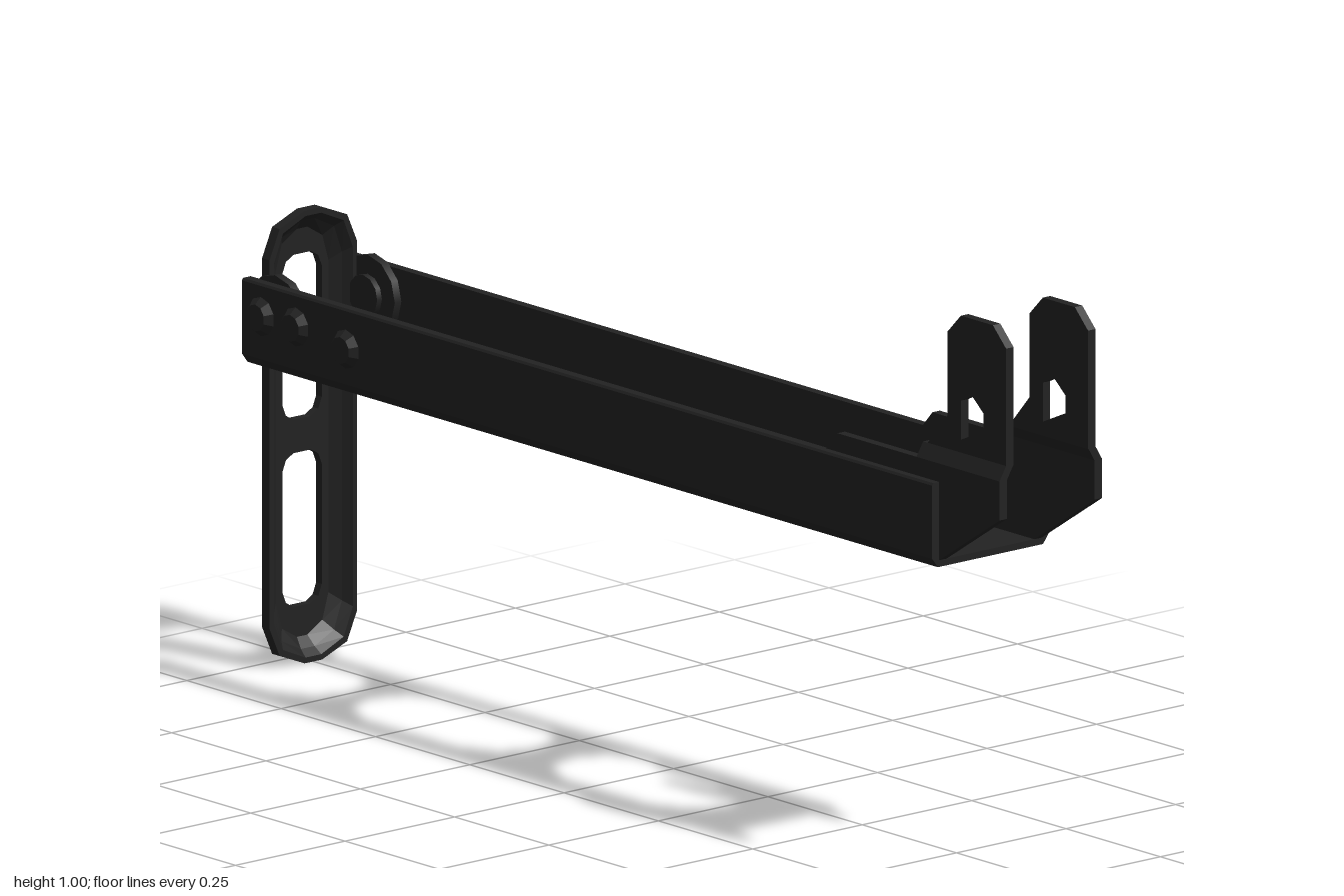
import * as THREE from 'three';

const MID = 0.405; // strut centre height

function makeShape(points, holes = []) {
  const toV = (list) => list.map(([a, b]) => new THREE.Vector2(a, b));
  const shape = new THREE.Shape(toV(points));
  holes.forEach((h) => shape.holes.push(new THREE.Path(toV(h))));
  return shape;
}

const extrude = (points, depth, holes) =>
  new THREE.ExtrudeGeometry(makeShape(points, holes), { depth, bevelEnabled: false });

// Mirrors a quarter outline about both axes, counter-clockwise
function fourWay(quarter, cx = 0, cy = 0) {
  const back = [...quarter].reverse();
  return [
    ...quarter,
    ...back.map(([a, b]) => [-a, b]),
    ...quarter.map(([a, b]) => [-a, -b]),
    ...back.map(([a, b]) => [a, -b]),
  ].map(([a, b]) => [a + cx, b + cy]);
}

// Strut outline in (z, y), shrunk inward by an inset
const strutOutline = (inset) =>
  fourWay([[0.1, 0.33], [0.077, 0.382], [0.02, MID]], 0, MID)
    .map(([z, y]) => [z * (1 - inset / 0.1), MID + (y - MID) * (1 - inset / MID)]);

// Dished rim: outline loops joined along x
function rimGeometry(sections) {
  const loops = sections.map(([x, inset]) => strutOutline(inset).map(([z, y]) => [x, y, z]));
  const pos = [];
  for (let k = 0; k < loops.length - 1; k++) {
    const n = loops[k].length;
    for (let i = 0; i < n; i++) {
      const j = (i + 1) % n;
      const a = loops[k][i], b = loops[k + 1][i], c = loops[k + 1][j], d = loops[k][j];
      pos.push(...a, ...b, ...c, ...a, ...c, ...d);
    }
  }
  const geo = new THREE.BufferGeometry();
  geo.setAttribute('position', new THREE.Float32BufferAttribute(pos, 3));
  geo.computeVertexNormals();
  return geo;
}

export function createModel() {
  const model = new THREE.Group();
  model.name = 'channelArm';
  const metal = new THREE.MeshStandardMaterial({ color: 0x222222 });
  metal.name = 'blackMetal';

  const add = (name, geo, x = 0, y = 0, z = 0) => {
    const mesh = new THREE.Mesh(geo, metal);
    mesh.name = name;
    mesh.position.set(x, y, z);
    model.add(mesh);
    return mesh;
  };

  // Upright slotted strut: web with two slots, and a flared rim
  const slot = (y0, y1) => {
    const h = (y1 - y0) / 2;
    return fourWay([[0.045, h - 0.03], [0.037, h - 0.01], [0.02, h]], 0, (y0 + y1) / 2);
  };
  const web = extrude(strutOutline(0.025), 0.015, [slot(0.095, 0.37), slot(0.43, 0.725)]);
  web.rotateY(Math.PI / 2);
  add('strutWeb', web, -1);
  add('strutRim', rimGeometry([
    [-1, 0.025], [-0.975, 0], [-0.955, 0], [-0.955, 0.01], [-0.97, 0.022], [-0.985, 0.04],
  ]));

  // Channel floor with lightening holes, open at the strut end
  const floorHole = (x0, x1) => {
    const h = (x1 - x0) / 2;
    return fourWay([[h, 0], [h - 0.025, 0.065], [h - 0.105, 0.103]], (x0 + x1) / 2, 0);
  };
  const floor = extrude([
    [-0.95, 0.12], [-0.95, 0.103], [-0.4, 0.103], [-0.315, 0.065], [-0.29, 0],
    [-0.315, -0.065], [-0.4, -0.103], [-0.95, -0.103], [-0.95, -0.12],
    [0.84, -0.12], [0.84, 0.12],
  ], 0.012, [floorHole(-0.25, 0.205), floorHole(0.28, 0.715)]);
  floor.rotateX(Math.PI / 2);
  add('channelFloor', floor, 0, 0.562, 0);

  for (const s of [1, -1]) {
    const side = s > 0 ? 'front' : 'back';

    // Channel wall with a chamfered lower edge
    const wall = extrude([
      [-s * 0.113, 0.552], [-s * 0.12, 0.55], [-s * 0.133, 0.567],
      [-s * 0.133, 0.698], [-s * 0.13, 0.702], [-s * 0.113, 0.702],
    ], 1.83);
    wall.rotateY(Math.PI / 2);
    add(side + 'ChannelWall', wall, -0.99);

    // Rivet heads
    for (const [x, y] of [[-0.94, 0.643], [-0.848, 0.643], [-0.715, 0.63]]) {
      const head = new THREE.CylinderGeometry(0.024, 0.036, 0.014, 10).toNonIndexed();
      head.computeVertexNormals();
      head.rotateX(s * Math.PI / 2);
      add(side + 'Rivet', head, x, y, s * 0.139);
    }

    // Pivot washer and pin end inside the wall
    const disc = (r, h) => new THREE.CylinderGeometry(r, r, h, 12).rotateX(Math.PI / 2);
    add(side + 'PivotWasher', disc(0.072, 0.016), -0.925, 0.645, s * 0.106);
    add(side + 'PivotPin', disc(0.038, 0.012), -0.925, 0.645, s * 0.093);

    // End bracket: lower plate, joggle and raised tab
    const z = (inner, t) => (s > 0 ? inner : -inner - t);
    add(side + 'BracketPlate', extrude([
      [0.54, 0.562], [0.84, 0.562], [1, 0.665], [1, 0.735], [0.57, 0.735], [0.54, 0.702],
    ], 0.017), 0, 0, z(0.1, 0.017));

    const joggle = extrude([
      [-s * 0.1, 0.735], [-s * 0.117, 0.735], [-s * 0.102, 0.76], [-s * 0.085, 0.76],
    ], 0.22);
    joggle.rotateY(Math.PI / 2);
    add(side + 'BracketJoggle', joggle, 0.78);

    add(side + 'BracketTab', extrude([
      [0.79, 0.758], [1, 0.758], [1, 0.97], [0.965, 1.005],
      [0.88, 1.005], [0.845, 0.97], [0.845, 0.82],
    ], 0.017, [[
      [0.88, 0.783], [0.94, 0.81], [0.94, 0.842], [0.91, 0.867], [0.88, 0.853],
    ]]), 0, 0, z(0.085, 0.017));
  }

  return model;
}
